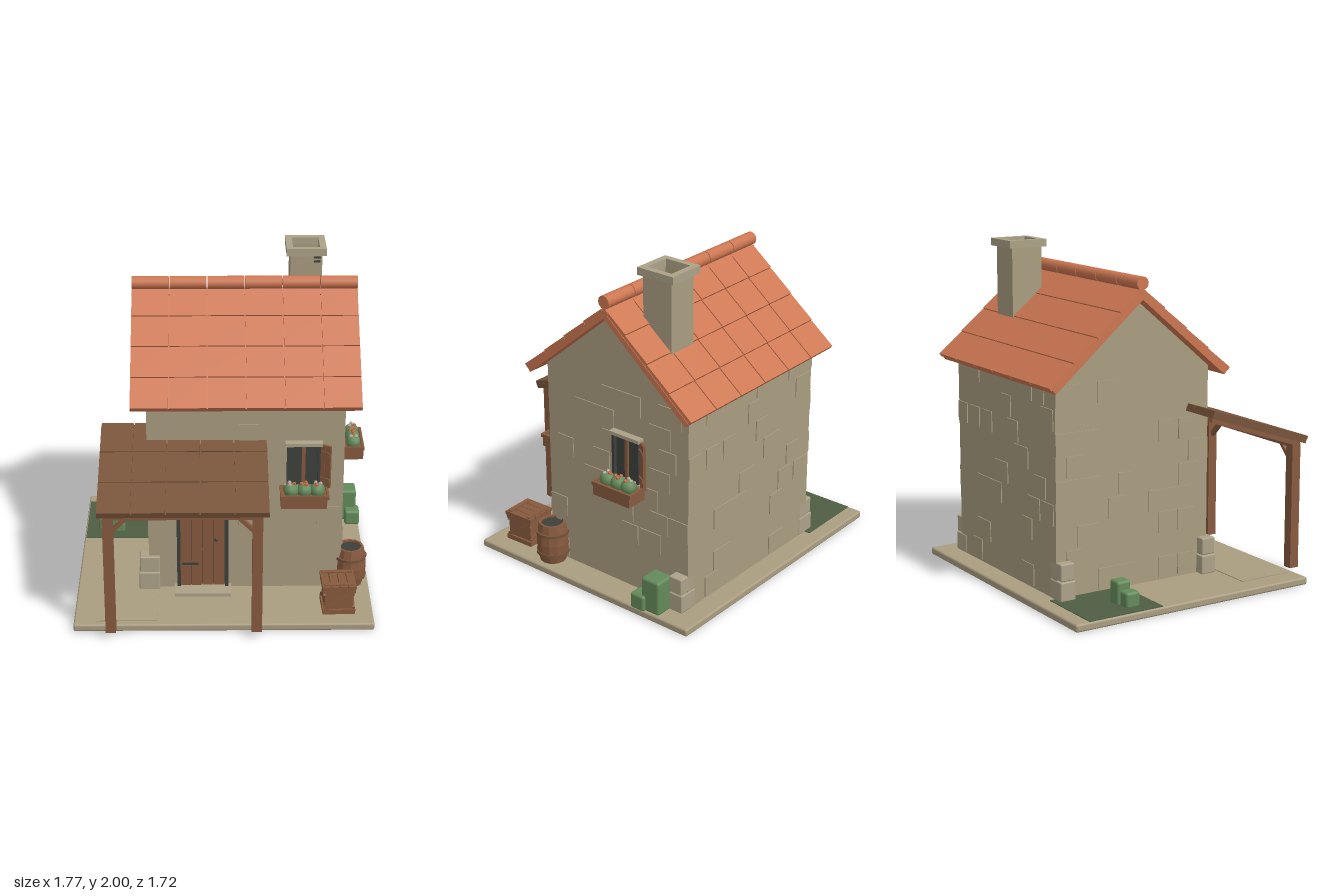
import * as THREE from 'three';
import { RoundedBoxGeometry } from 'three/addons/geometries/RoundedBoxGeometry.js';

const mat = (name, color) => Object.assign(new THREE.MeshStandardMaterial({ color }), { name });
const M = {
  stone: mat('wall stone', 0xa99c80),
  trim: mat('trim stone', 0xaca288),
  tile: mat('roof tile', 0xcd7752),
  wood: mat('warm wood', 0x875a3e),
  timber: mat('dark timber', 0x78543a),
  dark: mat('dark slate', 0x3d403b),
  leaf: mat('leaf green', 0x648a5a),
  lawn: mat('lawn green', 0x4d5e43),
  red: mat('orange flower', 0xc4623f),
  pale: mat('pale flower', 0xb9a79c),
};

function add(parent, name, geo, material, x = 0, y = 0, z = 0) {
  const m = new THREE.Mesh(geo, material);
  m.name = name;
  m.position.set(x, y, z);
  parent.add(m);
  return m;
}
function group(parent, name, x = 0, y = 0, z = 0) {
  const g = new THREE.Group();
  g.name = name;
  g.position.set(x, y, z);
  parent.add(g);
  return g;
}
// box given by its min and max on each axis
function box(parent, name, material, x0, x1, y0, y1, z0, z1, r = 0) {
  const s = [x1 - x0, y1 - y0, z1 - z0];
  const geo = r ? new RoundedBoxGeometry(...s, 2, r) : new THREE.BoxGeometry(...s);
  return add(parent, name, geo, material, (x0 + x1) / 2, (y0 + y1) / 2, (z0 + z1) / 2);
}
// square tube standing on y0
function tube(parent, name, material, x, y0, z, w, d, iw, id, h) {
  const rect = (P, a, b) => new P([[-a, -b], [a, -b], [a, b], [-a, b]].map(p => new THREE.Vector2(p[0] / 2, p[1] / 2)));
  const s = rect(THREE.Shape, w, d);
  s.holes.push(rect(THREE.Path, iw, id));
  const geo = new THREE.ExtrudeGeometry(s, { depth: h, bevelEnabled: false }).rotateX(-Math.PI / 2);
  return add(parent, name, geo, material, x, y0, z);
}
let seed = 7;
const rnd = () => (seed = (seed * 16807) % 2147483647) / 2147483647;

// rows of tiles on a sloping slab; local z runs down the slope, y = 0 is the top
function tiledSlope(parent, name, material, w, len, cols, rows, thick, tilt) {
  const g = group(parent, name);
  box(g, 'roofBoard', material, -w / 2, w / 2, -thick, -0.022, 0, len - 0.008);
  const cw = w / cols, rl = len / rows;
  for (let i = 0; i < cols; i++) for (let j = 0; j < rows; j++) {
    const t = add(g, 'roofTile', new THREE.BoxGeometry(cw - 0.007, 0.024, rl - 0.003), material,
      -w / 2 + cw * (i + 0.5), -0.014, rl * (j + 0.5));
    t.rotation.x = -tilt;
  }
  return g;
}

// window facing local +z, with shutter, lintel and flower box
function windowUnit(parent, name, x, z, turn) {
  const g = group(parent, name, x, 0, z);
  g.rotation.y = turn;
  box(g, 'windowPane', M.dark, -0.095, 0.095, 0.75, 1.02, -0.01, 0.012);
  for (const s of [-1, 1]) box(g, 'windowJamb', M.dark, s * 0.09 - 0.008, s * 0.09 + 0.008, 0.75, 1.02, 0, 0.035);
  box(g, 'mullion', M.wood, -0.011, 0.011, 0.75, 1.015, 0, 0.025);
  box(g, 'lintel', M.trim, -0.11, 0.11, 1.014, 1.035, 0, 0.045);
  box(g, 'sill', M.trim, -0.11, 0.11, 0.735, 0.752, 0, 0.04);
  const sh = group(g, 'shutter', 0.102, 0, 0.008);
  sh.rotation.y = -0.55;
  for (const k of [0, 1]) box(sh, 'shutterBoard', M.wood, k * 0.036, k * 0.036 + 0.034, 0.75, 1.02, 0, 0.016);
  for (const y of [0.79, 0.96]) box(sh, 'shutterBatten', M.wood, 0.004, 0.066, y, y + 0.02, 0.016, 0.022);
  const p = group(g, 'flowerBox');
  box(p, 'flowerBoxBody', M.wood, -0.135, 0.135, 0.668, 0.735, 0.025, 0.16);
  tube(p, 'flowerBoxRim', M.wood, 0.004, 0.73, 0.093, 0.285, 0.145, 0.255, 0.115, 0.022);
  [-0.075, 0.004, 0.08].forEach((fx, i) => {
    add(p, 'plant', new THREE.IcosahedronGeometry(0.046, 1), M.leaf, fx, 0.762, 0.1);
    for (let k = 0; k < 3; k++) {
      const a = k * 2.1 + i;
      add(p, 'bloom', new THREE.IcosahedronGeometry(0.013, 0), i === 1 ? M.red : k ? M.pale : M.red,
        fx + 0.018 * Math.cos(a), 0.803, 0.1 + 0.018 * Math.sin(a));
    }
  });
}

export function createModel() {
  const root = new THREE.Group();
  root.name = 'cottage';

  // ground slab, lawn and paving
  box(root, 'groundSlab', M.stone, -0.89, 0.88, 0, 0.046, -0.86, 0.74, 0.012);
  box(root, 'lawn', M.lawn, -0.88, -0.45, 0.044, 0.05, -0.77, -0.285);
  box(root, 'pavingSlab', M.stone, -0.76, -0.4, 0.044, 0.05, 0.36, 0.7);
  box(root, 'doorStep', M.trim, -0.3, 0.04, 0.044, 0.068, 0.3, 0.43);

  // walls with both gables in one extrusion
  const wall = new THREE.Shape([[-0.31, 0.04], [0.73, 0.04], [0.73, 1.305], [0.205, 1.74], [-0.31, 1.305]]
    .map(p => new THREE.Vector2(...p)));
  add(root, 'walls', new THREE.ExtrudeGeometry(wall, { depth: 1.16, bevelEnabled: false }).rotateY(Math.PI / 2),
    M.stone, -0.455, 0, 0);

  // slightly raised stones scattered over each wall
  const faces = [[0.125, 0.31, 0, 1.16, 0.22], [0.125, -0.73, Math.PI, 1.16, 0.32],
    [0.705, -0.21, Math.PI / 2, 1.04, 0.34], [-0.455, -0.21, -Math.PI / 2, 1.04, 0.34]];
  for (const [x, z, turn, w, share] of faces) {
    const g = group(root, 'raisedStones', x, 0, z);
    g.rotation.y = turn;
    for (let r = 0; r < 9; r++) for (let c = 0; c < 7; c++) {
      const a = -w / 2 + (c + (r % 2) * 0.5) * (w / 7.5), y = 0.06 + r * 0.137;
      const ww = 0.11 + rnd() * 0.05;
      if (rnd() < share) box(g, 'raisedStone', M.stone, a, Math.min(a + ww, w / 2), y, y + 0.125, -0.01, 0.006);
    }
  }

  // corner stones
  for (const [x, z] of [[-0.452, 0.29], [-0.452, -0.685], [0.702, -0.685]]) {
    box(root, 'cornerStone', M.trim, x - 0.063, x + 0.063, 0.045, 0.16, z - 0.05, z + 0.05, 0.008);
    box(root, 'cornerStone', M.trim, x - 0.058, x + 0.063, 0.162, 0.265, z - 0.045, z + 0.045, 0.008);
  }

  // main roof, mirrored about the ridge
  const roof = group(root, 'roof', 0.125, 1.805, -0.205);
  for (const turn of [0, Math.PI]) {
    const side = group(roof, 'roofSide');
    side.rotation.y = turn;
    tiledSlope(side, 'roofSlope', M.tile, 1.34, 0.8, 6, 4, 0.055, 0.03).rotation.x = 0.7;
  }
  for (let i = 0; i < 6; i++) {
    const cap = add(roof, 'ridgeTile', new THREE.CylinderGeometry(0.039, 0.039, 0.218, 12), M.tile,
      -0.67 + (i + 0.5) * (1.34 / 6), 0.021, 0);
    cap.rotation.z = Math.PI / 2;
  }

  // chimney
  const ch = group(root, 'chimney', 0.494, 0, -0.415);
  tube(ch, 'chimneyShaft', M.stone, 0, 1.45, 0, 0.19, 0.2, 0.16, 0.17, 0.505);
  tube(ch, 'chimneyCap', M.trim, 0, 1.955, -0.003, 0.238, 0.248, 0.16, 0.17, 0.045);
  box(ch, 'flue', M.dark, -0.082, 0.082, 1.46, 1.88, -0.087, 0.087);
  for (const y of [1.91, 1.935]) box(ch, 'ventSlot', M.dark, 0.045, 0.085, y, y + 0.012, 0.095, 0.103);

  // porch canopy on two braced posts
  const porch = group(root, 'porch');
  const canopy = tiledSlope(porch, 'porchCanopy', M.timber, 0.975, 0.728, 5, 3, 0.048, 0.012);
  canopy.position.set(-0.2375, 1.09, 0.17);
  canopy.rotation.x = 0.325;
  for (const x of [-0.44, -0.18, 0.18, 0.44]) box(canopy, 'rafter', M.wood, x - 0.02, x + 0.02, -0.075, -0.046, 0.02, 0.67);
  box(porch, 'porchBeam', M.wood, -0.695, 0.215, 0.79, 0.828, 0.768, 0.818);
  for (const [x, s] of [[-0.665, 1], [0.185, -1]]) {
    box(porch, 'porchPost', M.wood, x - 0.03, x + 0.03, 0.045, 0.815, 0.763, 0.823);
    const b = add(porch, 'brace', new THREE.BoxGeometry(0.022, 0.15, 0.03), M.wood, x + s * 0.065, 0.752, 0.793);
    b.rotation.z = -s * 0.78;
  }

  // door
  const door = group(root, 'door');
  box(door, 'doorBacking', M.dark, -0.28, 0.02, 0.06, 0.74, 0.3, 0.318);
  for (const x of [-0.285, 0.005]) box(door, 'doorJamb', M.dark, x, x + 0.02, 0.06, 0.745, 0.3, 0.345);
  box(door, 'doorHead', M.dark, -0.285, 0.025, 0.725, 0.745, 0.3, 0.345);
  for (let i = 0; i < 4; i++) {
    const x = -0.264 + i * 0.067;
    box(door, 'doorPlank', M.wood, x, x + 0.064, 0.068, 0.724, 0.31, 0.33);
  }
  for (const y of [0.21, 0.555]) box(door, 'doorHinge', M.dark, -0.255, -0.155, y, y + 0.016, 0.328, 0.336);
  add(door, 'doorKnob', new THREE.SphereGeometry(0.011, 10, 8), M.dark, -0.05, 0.39, 0.342);

  windowUnit(root, 'frontWindow', 0.465, 0.31, 0);
  windowUnit(root, 'sideWindow', 0.705, -0.3, Math.PI / 2);

  // barrel
  const barrel = group(root, 'barrel', 0.765, 0.045, 0.258);
  const prof = [[0, 0], [0.078, 0], [0.095, 0.07], [0.098, 0.125], [0.094, 0.18], [0.08, 0.252], [0.066, 0.252], [0.066, 0.235], [0, 0.235]];
  const barrelGeo = new THREE.LatheGeometry(prof.map(p => new THREE.Vector2(...p)), 12).toNonIndexed();
  barrelGeo.computeVertexNormals();
  add(barrel, 'barrelBody', barrelGeo, M.wood);
  add(barrel, 'barrelLid', new THREE.CylinderGeometry(0.066, 0.066, 0.004, 12), M.dark, 0, 0.238, 0);
  for (const y of [0.06, 0.19]) add(barrel, 'barrelHoop', new THREE.CylinderGeometry(0.1, 0.1, 0.018, 12), M.timber, 0, y, 0);

  // crate with slatted lid and diagonal braces
  const crate = group(root, 'crate', 0.672, 0.045, 0.542);
  crate.rotation.y = 0.04;
  box(crate, 'crateBody', M.wood, -0.085, 0.085, 0, 0.165, -0.085, 0.085);
  for (let k = 0; k < 4; k++) {
    const side = group(crate, 'crateSide');
    side.rotation.y = k * Math.PI / 2;
    for (const y of [0.004, 0.145]) box(side, 'crateRail', M.wood, -0.095, 0.095, y, y + 0.03, 0.08, 0.097);
    add(side, 'crateBrace', new THREE.BoxGeometry(0.2, 0.024, 0.012), M.wood, 0, 0.088, 0.088).rotation.z = 0.55;
  }
  for (let i = 0; i < 4; i++) box(crate, 'lidSlat', M.wood, -0.1 + i * 0.051, -0.053 + i * 0.051, 0.172, 0.192, -0.1, 0.1);
  for (const z of [-0.085, 0.06]) box(crate, 'lidBatten', M.wood, -0.09, 0.09, 0.19, 0.2, z, z + 0.025);

  // clipped bushes
  const bushes = [[-0.805, -0.72, 0.135, -0.48, -0.39], [-0.738, -0.65, 0.185, -0.497, -0.408], [-0.7, -0.635, 0.11, -0.42, -0.365],
    [0.735, 0.865, 0.255, -0.645, -0.515], [0.79, 0.885, 0.14, -0.55, -0.45]];
  for (const [x0, x1, h, z0, z1] of bushes) box(root, 'bush', M.leaf, x0, x1, 0.04, h, z0, z1, 0.016);

  return root;
}
